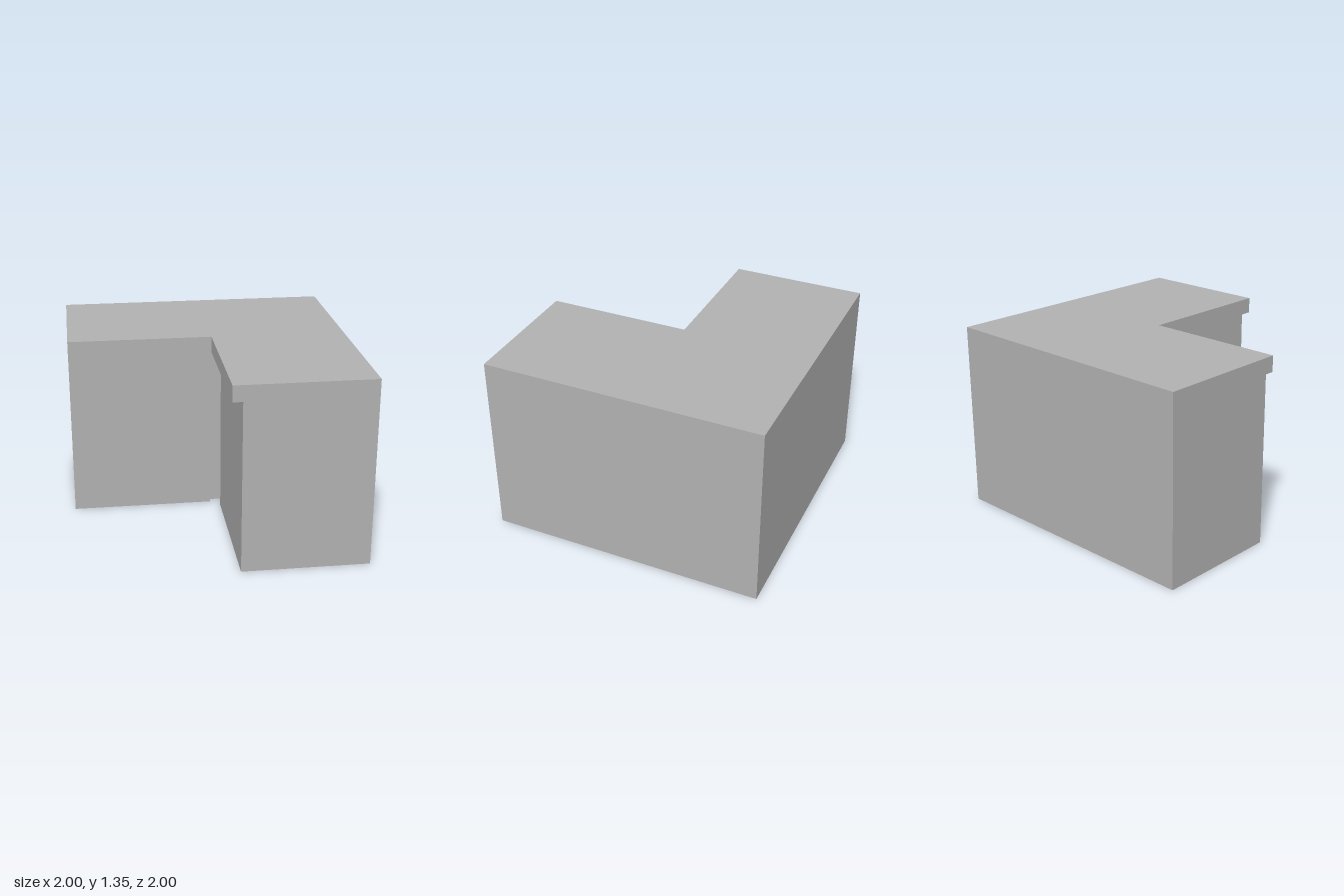
import * as THREE from 'three';

export function createModel() {
  const group = new THREE.Group();
  group.name = 'cornerCounter';
  const grey = new THREE.MeshStandardMaterial({ color: 0xb2b2b2 });
  grey.name = 'light grey';

  const height = 1.35, topBase = 1.235;
  const lip = 0.03;   // inner edge of the worktop, from the centre lines
  const face = 0.1;   // inner faces of the cabinet
  const notch = 0.14; // depth of the recess in the inner corner

  // Extrudes a floor plan of [x, z] points from y0 up to y1
  function slab(name, plan, y0, y1) {
    const shape = new THREE.Shape(plan.map(([x, z]) => new THREE.Vector2(x, -z)));
    const geometry = new THREE.ExtrudeGeometry(shape, { depth: y1 - y0, bevelEnabled: false });
    geometry.rotateX(-Math.PI / 2).translate(0, y0, 0);
    const mesh = new THREE.Mesh(geometry, grey);
    mesh.name = name;
    group.add(mesh);
  }

  // L-shaped cabinet with a small recess running up its inner corner
  slab('cabinetBody', [
    [-1, -1], [-1, -face], [lip, -face], [lip, -notch], [notch, -notch],
    [notch, -lip], [face, -lip], [face, 1], [1, 1], [1, -1],
  ], 0, topBase);

  // Worktop overhanging the two inner faces
  slab('worktop', [
    [-1, -1], [-1, -lip], [lip, -lip], [lip, 1], [1, 1], [1, -1],
  ], topBase, height);

  return group;
}
